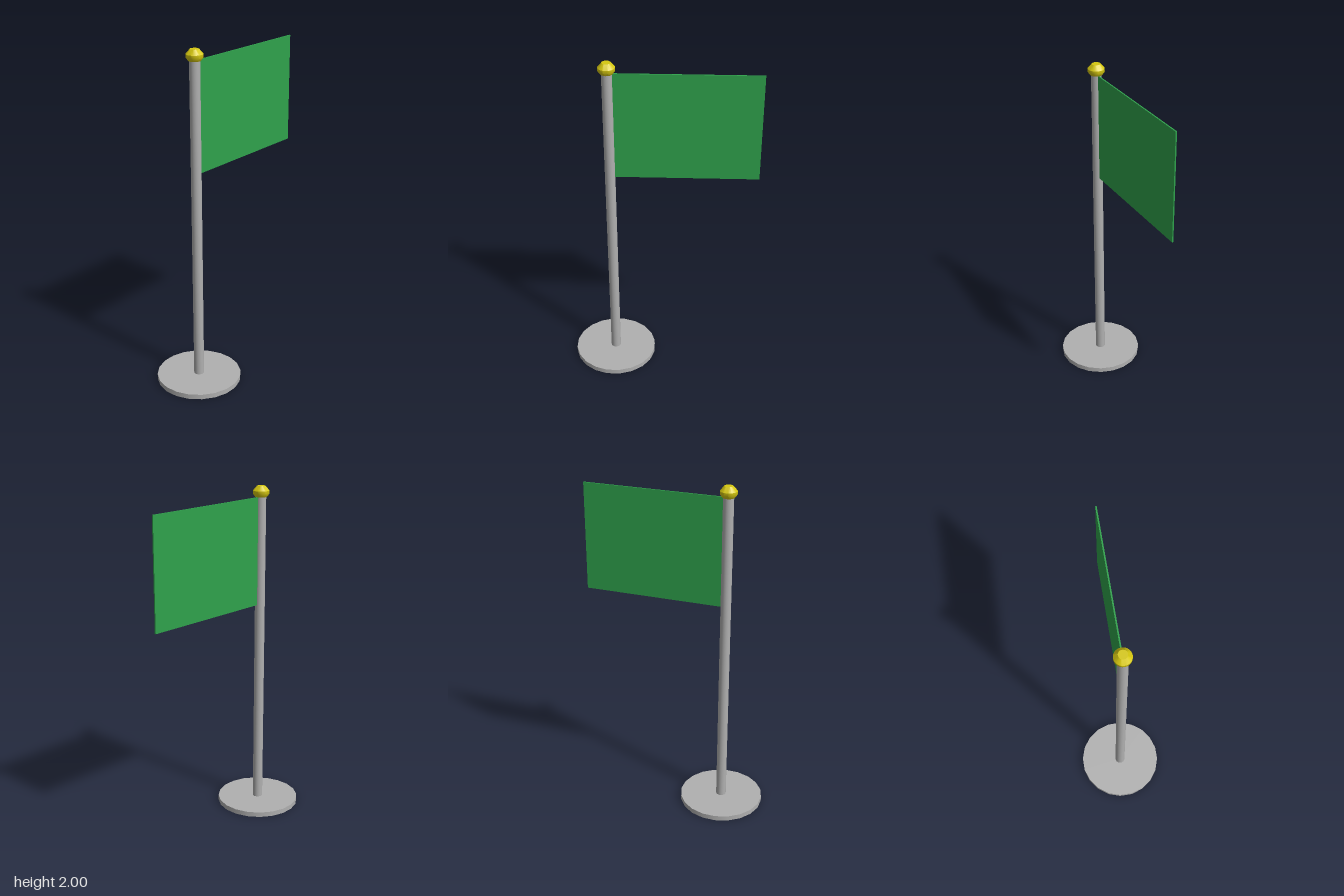
import * as THREE from 'three';
import { toCreasedNormals } from 'three/addons/utils/BufferGeometryUtils.js';

const POLE_X = -0.302;
const SIDES = 20;

function material(name, color) {
  const m = new THREE.MeshStandardMaterial({ color });
  m.name = name;
  return m;
}

export function createModel() {
  const group = new THREE.Group();
  group.name = 'flagOnStand';

  const grey = material('grey metal', 0xb0b0b0);
  const gold = material('gold', 0xd6c810);
  const green = material('green cloth', 0x2fa24c);

  const add = (name, geometry, mat, x, y) => {
    const mesh = new THREE.Mesh(geometry, mat);
    mesh.name = name;
    mesh.position.set(x, y, 0);
    group.add(mesh);
  };

  // Round foot, turned half a step so flat sides face the axes
  const foot = new THREE.CylinderGeometry(0.25, 0.25, 0.03, SIDES);
  foot.rotateY(Math.PI / SIDES);
  add('base', foot, grey, POLE_X, 0.015);

  // Pole from the foot up into the finial
  add('pole', new THREE.CylinderGeometry(0.03, 0.03, 1.92, SIDES), grey, POLE_X, 0.98);

  // Flat-topped knob
  const profile = [[0, 0], [0.035, 0], [0.048, 0.018], [0.048, 0.036], [0.025, 0.063], [0, 0.063]]
    .map(([r, y]) => new THREE.Vector2(r, y));
  add('finial', toCreasedNormals(new THREE.LatheGeometry(profile, 32), 0.7), gold, POLE_X, 1.937);

  // Thin stiff flag, reaching from inside the pole to the free edge
  const left = POLE_X + 0.02, right = 0.548, bottom = 1.295, top = 1.937;
  add('flag', new THREE.BoxGeometry(right - left, top - bottom, 0.008), green,
    (left + right) / 2, (bottom + top) / 2);

  return group;
}
